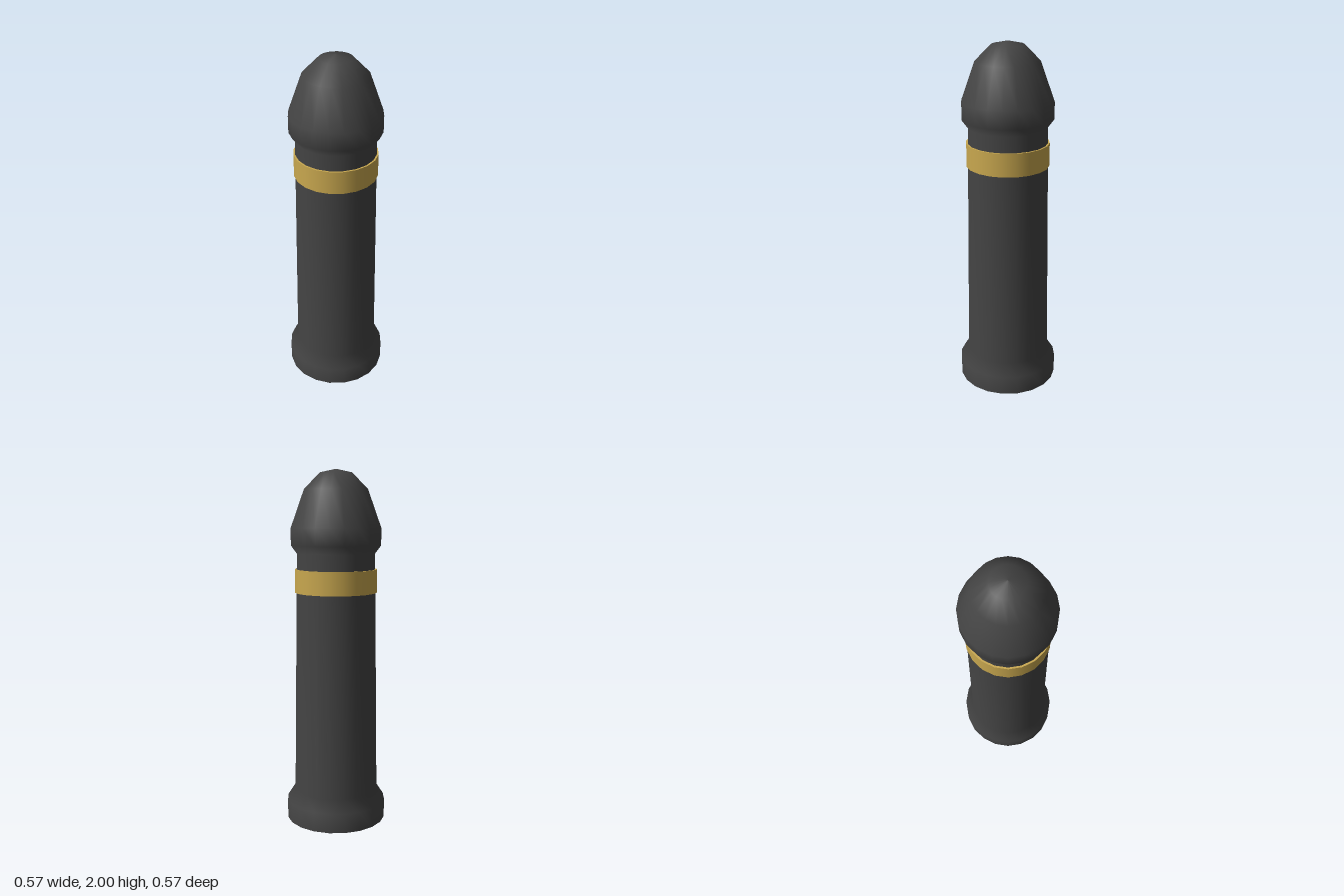
import * as THREE from 'three';

export function createModel() {
  const group = new THREE.Group();
  const iron = new THREE.MeshStandardMaterial({ color: 0x444444 });
  iron.name = 'dark iron';
  const gold = new THREE.MeshStandardMaterial({ color: 0xc9a84f });
  gold.name = 'gold band';
  const SIDES = 20;

  const add = (name, geometry, material, y = 0) => {
    const mesh = new THREE.Mesh(geometry, material);
    mesh.name = name;
    mesh.position.y = y;
    group.add(mesh);
    return mesh;
  };

  // Turned post: plinth, tapered shaft, collar and domed cap
  const profile = [
    [0.285, 0], [0.285, 0.11], [0.24, 0.18], [0.22, 1.54],
    [0.253, 1.585], [0.253, 1.68], [0.178, 1.89], [0.09, 1.98], [0, 2],
  ].map(([r, y]) => new THREE.Vector2(r, y));
  add('post', new THREE.LatheGeometry(profile, SIDES), iron);

  // Flat underside, lined up with the post's corners
  const underside = add('underside', new THREE.CircleGeometry(0.285, SIDES), iron);
  underside.rotation.x = Math.PI / 2;

  // Band around the upper shaft
  add('band', new THREE.CylinderGeometry(0.231, 0.231, 0.13, SIDES), gold, 1.387);

  return group;
}
